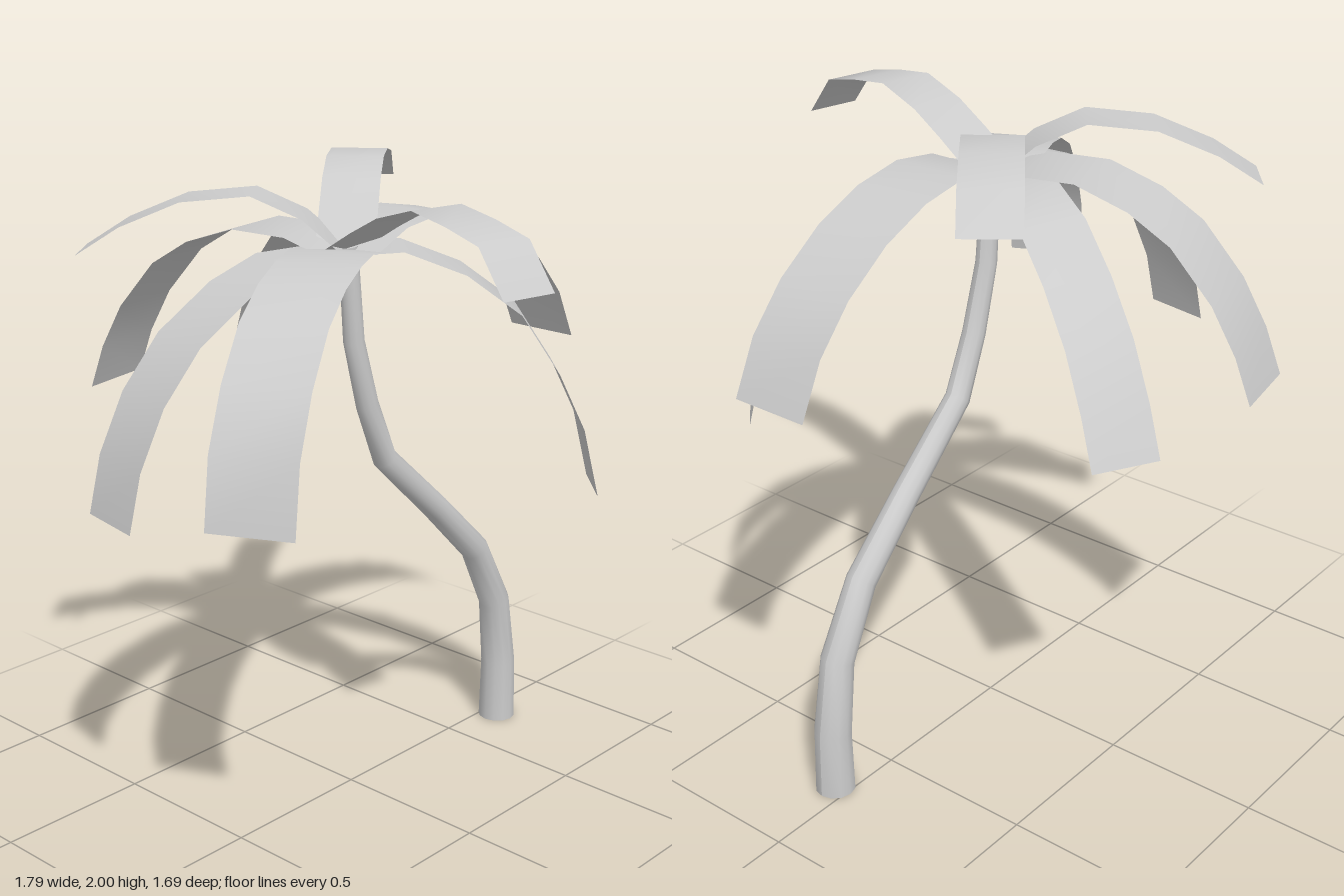
import * as THREE from 'three';

const HUB = new THREE.Vector3(-0.07, 1.78, 0.04);

// Indexed grid of points (rows of equal length) with smooth normals
function gridGeometry(rows) {
  const n = rows[0].length, index = [];
  for (let i = 0; i < rows.length - 1; i++) {
    for (let j = 0; j < n - 1; j++) {
      const a = i * n + j, b = a + 1, c = a + n, d = c + 1;
      index.push(a, b, c, b, d, c);
    }
  }
  const geo = new THREE.BufferGeometry().setFromPoints(rows.flat());
  geo.setIndex(index);
  geo.computeVertexNormals();
  return geo;
}

// Flat ribbon leaf: profile holds [fraction of reach, height] from hub to tip
function frondGeometry({ tip: [tx, tz], width, profile }) {
  const dx = tx - HUB.x, dz = tz - HUB.z, reach = Math.hypot(dx, dz);
  const px = -dz / reach * width / 2, pz = dx / reach * width / 2;
  const rows = [[0, HUB.y], ...profile].map(([f, y]) => [1, -1].map(s =>
    new THREE.Vector3(HUB.x + dx * f + s * px, y, HUB.z + dz * f + s * pz)));
  return gridGeometry(rows);
}

// Tapering trunk: rings set square to the bending path
function trunkGeometry(path, sides) {
  const rows = path.map(([x, y, r], i) => {
    const a = path[Math.max(i - 1, 0)], b = path[Math.min(i + 1, path.length - 1)];
    const len = Math.hypot(b[0] - a[0], b[1] - a[1]);
    const level = i === 0;
    const nx = level ? 1 : (b[1] - a[1]) / len, ny = level ? 0 : -(b[0] - a[0]) / len;
    return Array.from({ length: sides + 1 }, (_, j) => {
      const t = -j / sides * Math.PI * 2, c = Math.cos(t) * r;
      return new THREE.Vector3(x + nx * c, y + ny * c, 0.048 + Math.sin(t) * r);
    });
  });
  return gridGeometry(rows);
}

export function createModel() {
  const model = new THREE.Group();
  model.name = 'palmTree';
  const material = new THREE.MeshStandardMaterial({ color: 0xcccccc, side: THREE.DoubleSide });

  // Leaning trunk: x, y, radius
  const trunk = new THREE.Mesh(trunkGeometry([
    [0.703, 0, 0.062], [0.703, 0.21, 0.058], [0.67, 0.45, 0.052], [0.555, 0.67, 0.047],
    [0.35, 0.87, 0.043], [0.1, 1.1, 0.039], [0.02, 1.29, 0.036], [-0.04, 1.5, 0.033],
    [-0.065, 1.79, 0.03],
  ], 12), material);
  trunk.name = 'trunk';
  model.add(trunk);

  const foot = new THREE.Mesh(new THREE.CircleGeometry(0.062, 12).rotateX(Math.PI / 2), material);
  foot.position.set(0.703, 0, 0.048);
  foot.name = 'trunkBase';
  model.add(foot);

  // Crown of nine fronds
  const fronds = [
    // left
    { tip: [0.89, 0.045], width: 0.25, profile: [[0.14, 1.84], [0.3, 1.86], [0.47, 1.83], [0.64, 1.76], [0.8, 1.65], [0.92, 1.52], [1, 1.36]] },
    // front left
    { tip: [0.467, 0.572], width: 0.205, profile: [[0.22, 1.79], [0.46, 1.72], [0.675, 1.6], [0.83, 1.42], [0.935, 1.25], [1, 1.04]] },
    // front, arching up
    { tip: [-0.222, 0.828], width: 0.175, profile: [[0.18, 1.86], [0.33, 1.92], [0.52, 1.965], [0.7, 1.945], [0.87, 1.915], [1, 1.79]] },
    // front right
    { tip: [-0.843, 0.422], width: 0.25, profile: [[0.15, 1.8], [0.3, 1.79], [0.47, 1.76], [0.655, 1.69], [0.825, 1.56], [0.95, 1.4], [1, 1.2]] },
    // right
    { tip: [-0.873, -0.105], width: 0.22, profile: [[0.29, 1.78], [0.485, 1.72], [0.7, 1.6], [0.85, 1.45], [0.95, 1.28], [1, 1.11]] },
    // back right, arching up
    { tip: [-0.553, -0.57], width: 0.175, profile: [[0.15, 1.88], [0.34, 1.945], [0.6, 1.925], [0.83, 1.85], [1, 1.765]] },
    // back
    { tip: [-0.235, -0.818], width: 0.25, profile: [[0.15, 1.82], [0.36, 1.825], [0.55, 1.77], [0.7, 1.69], [0.85, 1.54], [0.94, 1.4], [1, 1.26]] },
    // back left
    { tip: [0.345, -0.74], width: 0.205, profile: [[0.25, 1.8], [0.45, 1.75], [0.64, 1.64], [0.8, 1.51], [0.92, 1.36], [1, 1.225]] },
    // back left, arching up
    { tip: [0.553, -0.44], width: 0.175, profile: [[0.14, 1.87], [0.27, 1.95], [0.43, 1.995], [0.63, 1.995], [0.86, 1.96], [1, 1.865]] },
  ];
  const crown = new THREE.Group();
  crown.name = 'crown';
  fronds.forEach((spec, i) => {
    const frond = new THREE.Mesh(frondGeometry(spec), material);
    frond.name = `frond${i + 1}`;
    crown.add(frond);
  });
  model.add(crown);
  return model;
}
